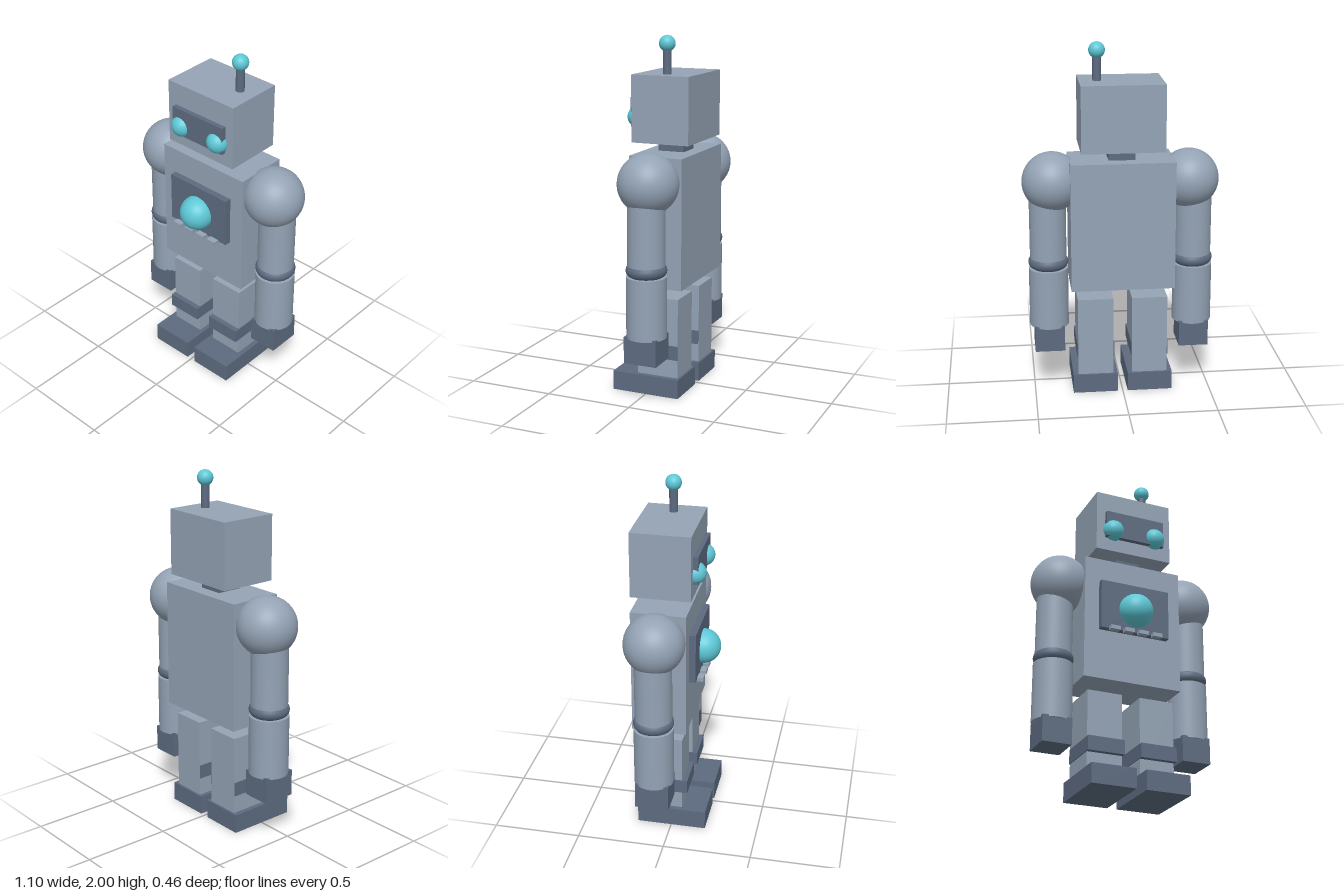
import * as THREE from 'three';

const material = (name, color) => {
  const m = new THREE.MeshStandardMaterial({ color });
  m.name = name;
  return m;
};

export function createModel() {
  const robot = new THREE.Group();
  robot.name = 'robot';
  const steel = material('light steel', 0x94a3b5);
  const slate = material('dark slate', 0x5d6b80);
  const glow = material('cyan glow', 0x5ec8d6);

  const add = (name, geometry, mat, x, y, z) => {
    const mesh = new THREE.Mesh(geometry, mat);
    mesh.name = name;
    mesh.position.set(x, y, z);
    robot.add(mesh);
    return mesh;
  };
  // Box given by its extents on each axis
  const box = (name, mat, [x0, x1], [y0, y1], [z0, z1]) =>
    add(name, new THREE.BoxGeometry(x1 - x0, y1 - y0, z1 - z0), mat,
      (x0 + x1) / 2, (y0 + y1) / 2, (z0 + z1) / 2);
  const ball = (name, mat, r, x, y, z) =>
    add(name, new THREE.IcosahedronGeometry(r, 8), mat, x, y, z);
  const rod = (name, mat, r, y0, y1, x, z) =>
    add(name, new THREE.CylinderGeometry(r, r, y1 - y0, 32), mat, x, (y0 + y1) / 2, z);

  // Head, visor, neck and antenna
  box('head', steel, [-0.23, 0.23], [1.42, 1.79], [-0.233, 0.102]);
  box('visor', slate, [-0.178, 0.178], [1.5, 1.66], [0.08, 0.13]);
  box('neck', slate, [-0.073, 0.073], [1.34, 1.44], [-0.14, 0.01]);
  rod('antennaRod', slate, 0.024, 1.78, 1.94, 0.13, -0.067);
  ball('antennaTip', glow, 0.045, 0.13, 1.955, -0.067);

  // Torso with chest panel, core and buttons
  box('torso', steel, [-0.29, 0.29], [0.63, 1.358], [-0.22, 0.088]);
  box('chestPanel', slate, [-0.205, 0.205], [0.92, 1.21], [0.07, 0.125]);
  ball('chestCore', glow, 0.098, 0, 1.05, 0.132);
  for (let i = 0; i < 4; i++) {
    const x = -0.132 + i * 0.085;
    box('button', steel, [x - 0.028, x + 0.028], [0.905, 0.928], [0.125, 0.16]);
  }

  // Paired parts
  for (const s of [-1, 1]) {
    const span = (a, b) => (s > 0 ? [a, b] : [-b, -a]);
    ball('eye', glow, 0.062, s * 0.128, 1.55, 0.105);

    // Arm
    ball('shoulder', steel, 0.167, s * 0.383, 1.23, -0.067);
    rod('upperArm', steel, 0.103, 0.75, 1.22, s * 0.41, -0.068);
    const elbow = new THREE.TorusGeometry(0.075, 0.038, 16, 40).rotateX(Math.PI / 2);
    add('elbowRing', elbow, slate, s * 0.41, 0.765, -0.068);
    rod('forearm', steel, 0.111, 0.39, 0.73, s * 0.41, -0.068);
    box('hand', slate, span(0.327, 0.495), [0.25, 0.4], [-0.16, 0.03]);

    // Leg
    box('leg', steel, span(0.053, 0.254), [0.1, 0.565], [-0.185, 0.06]);
    box('kneeGuard', slate, span(0.048, 0.259), [0.215, 0.296], [-0.183, 0.09]);
    box('foot', slate, span(0.028, 0.283), [0, 0.11], [-0.197, 0.2]);
  }
  return robot;
}
